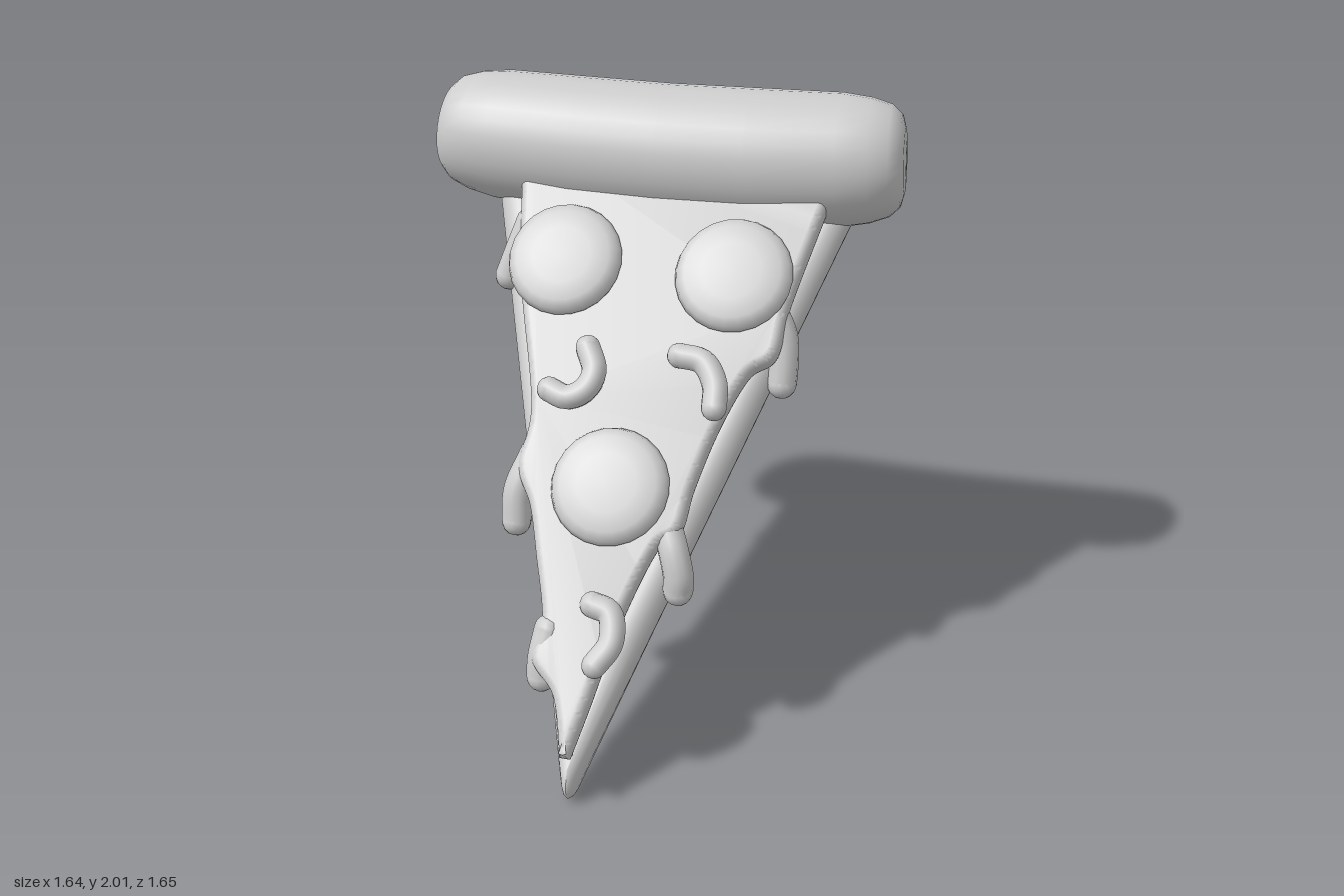
import * as THREE from 'three';
import { mergeVertices, toCreasedNormals } from 'three/addons/utils/BufferGeometryUtils.js';

const TILT = -0.692; // lean of the slice: local y runs tip to crust, local z out of the topping side
const COS = 0.77, SIN = 0.638;

// point on the slice from its upright x and height y, at local depth w
const at = (x, y, w) => new THREE.Vector3(x, (y - SIN * w) / COS, w);

// weld vertices and rebuild normals
function weld(geo) {
  geo.deleteAttribute('uv');
  geo.deleteAttribute('normal');
  const g = mergeVertices(geo, 1e-4);
  g.computeVertexNormals();
  return g;
}

// wedge of dough with rounded edges, lofted from the tip to the crust
function doughGeometry() {
  // v, left x, right x, half thickness
  const sections = [
    [-0.485, 0.018, 0.022, 0.004], [-0.475, 0.007, 0.035, 0.035], [-0.45, -0.003, 0.046, 0.06],
    [-0.40, -0.018, 0.06, 0.08], [0.1, -0.165, 0.212, 0.08], [0.6, -0.315, 0.365, 0.08],
    [1.1, -0.465, 0.517, 0.08], [1.7, -0.645, 0.70, 0.08],
  ];
  const half = 8, n = half * 2 + 2, pos = [], idx = [];
  for (const [v, left, right, h] of sections) {
    const r = Math.min(0.08, (right - left) / 2);
    for (const [cx, start] of [[right - r, -Math.PI / 2], [left + r, Math.PI / 2]]) {
      for (let i = 0; i <= half; i++) {
        const a = start + (i / half) * Math.PI;
        pos.push(cx + r * Math.cos(a), v, 0.6 + h * Math.sin(a));
      }
    }
  }
  for (let s = 0; s < sections.length - 1; s++) {
    for (let i = 0; i < n; i++) {
      const a = s * n + i, c = s * n + (i + 1) % n;
      idx.push(a, a + n, c, c, a + n, c + n);
    }
  }
  const g = new THREE.BufferGeometry();
  g.setAttribute('position', new THREE.Float32BufferAttribute(pos, 3));
  g.setIndex(idx);
  g.computeVertexNormals();
  return g;
}

// thick roll with soft ends, bowed slightly away from the tip
function crustGeometry() {
  const end = [[0.6, 0.226], [0.7, 0.21], [0.765, 0.188], [0.8, 0.155], [0.812, 0.11], [0.815, 0]];
  const profile = [
    ...end.slice().reverse().map(([x, r]) => new THREE.Vector2(r, -x)),
    new THREE.Vector2(0.234, -0.3), new THREE.Vector2(0.234, 0), new THREE.Vector2(0.234, 0.3),
    ...end.map(([x, r]) => new THREE.Vector2(r, x)),
  ];
  const g = new THREE.LatheGeometry(profile, 28).rotateZ(-Math.PI / 2);
  const p = g.attributes.position;
  for (let i = 0; i < p.count; i++) {
    const x = p.getX(i), y = p.getY(i), k = (x / 0.8) ** 2;
    p.setXYZ(i, x * (1 - 0.1 * y), y + 1.722 + 0.04 * k, p.getZ(i) + 0.69 - 0.015 * k);
  }
  return weld(g);
}

// sheet of cheese with a wavy outline
function cheeseGeometry() {
  const right = [[0.07, 0.33], [0.12, 0.53], [0.20, 0.73], [0.27, 0.79], [0.29, 0.9], [0.34, 1.06],
    [0.41, 1.2], [0.49, 1.26], [0.51, 1.4], [0.58, 1.655]];
  const left = [[-0.47, 1.655], [-0.41, 1.395], [-0.29, 1.06], [-0.295, 0.9], [-0.23, 0.8], [-0.18, 0.68],
    [-0.12, 0.52], [-0.13, 0.42], [-0.04, 0.34], [0.015, 0.2]];
  const flat = ([x, y]) => { const p = at(x, y, 0.75); return new THREE.Vector2(p.x, p.y); };
  const shape = new THREE.Shape();
  const tip = flat([0.035, 0.2]);
  shape.moveTo(tip.x, tip.y);
  shape.splineThru(right.map(flat));
  shape.lineTo(0.6, 1.72);
  shape.lineTo(-0.49, 1.72);
  const top = flat(left[0]);
  shape.lineTo(top.x, top.y);
  shape.splineThru(left.slice(1).map(flat));
  const g = new THREE.ExtrudeGeometry(shape, {
    depth: 0.03, bevelEnabled: true, bevelThickness: 0.032, bevelSize: 0.028,
    bevelOffset: -0.024, bevelSegments: 4, curveSegments: 4 * 8,
  });
  g.translate(0, 0, 0.728);
  return toCreasedNormals(weld(g), 0.9);
}

export function createModel() {
  const model = new THREE.Group();
  model.name = 'pizzaSlice';
  const slice = new THREE.Group();
  slice.name = 'tiltedSlice';
  slice.rotation.x = TILT;
  model.add(slice);

  const clay = new THREE.MeshStandardMaterial({ color: 0xcccccc });
  clay.name = 'lightGrey';

  const add = (name, geo, parent = slice) => {
    const mesh = new THREE.Mesh(geo, clay);
    mesh.name = name;
    parent.add(mesh);
    return mesh;
  };

  // round-ended tube through a few points
  const addTube = (name, points, radius) => {
    const group = new THREE.Group();
    group.name = name;
    slice.add(group);
    const curve = new THREE.CatmullRomCurve3(points.map((p) => at(...p)));
    add(name + 'Body', new THREE.TubeGeometry(curve, 16, radius, 12), group);
    for (const t of [0, 1]) {
      add(name + 'End', new THREE.SphereGeometry(radius, 12, 8), group).position.copy(curve.getPoint(t));
    }
  };

  add('dough', doughGeometry());
  add('crust', crustGeometry());
  add('cheese', cheeseGeometry());

  // cheese running over the edges
  const drips = [
    [[0.45, 1.38, 0.735], [0.495, 1.29, 0.69], [0.505, 1.2, 0.65], [0.505, 1.135, 0.62]],
    [[0.22, 0.80, 0.74], [0.26, 0.72, 0.73], [0.28, 0.65, 0.7], [0.28, 0.595, 0.665]],
    [[-0.43, 1.55, 0.73], [-0.465, 1.45, 0.69], [-0.495, 1.365, 0.65]],
    [[-0.26, 0.93, 0.74], [-0.30, 0.82, 0.71], [-0.30, 0.715, 0.665]],
    [[-0.10, 0.5, 0.75], [-0.11, 0.42, 0.73], [-0.11, 0.355, 0.7]],
  ];
  drips.forEach((d) => addTube('cheeseDrip', d, 0.05));

  // domed round slices
  const disc = [[0, -0.05], [0.16, -0.05], [0.187, -0.034], [0.197, -0.005], [0.187, 0.022],
    [0.16, 0.038], [0.1, 0.048], [0, 0.052]].map(([r, y]) => new THREE.Vector2(r, y));
  const discGeo = weld(new THREE.LatheGeometry(disc, 24).rotateX(Math.PI / 2));
  for (const [x, y] of [[-0.26, 1.485], [0.32, 1.485], [0.03, 0.905]]) {
    add('pepperoni', discGeo).position.copy(at(x, y, 0.806));
  }

  // curled strips
  const curls = [
    [[-0.12, 1.26, 0.82], [-0.085, 1.2, 0.82], [-0.105, 1.15, 0.82], [-0.16, 1.125, 0.82], [-0.225, 1.14, 0.82]],
    [[0.19, 1.265, 0.82], [0.27, 1.255, 0.82], [0.32, 1.2, 0.82], [0.33, 1.14, 0.82]],
    [[0.045, 0.615, 0.82], [0.105, 0.6, 0.82], [0.125, 0.53, 0.82], [0.085, 0.47, 0.82]],
  ];
  curls.forEach((c) => addTube('curledTopping', c, 0.042));

  return model;
}
